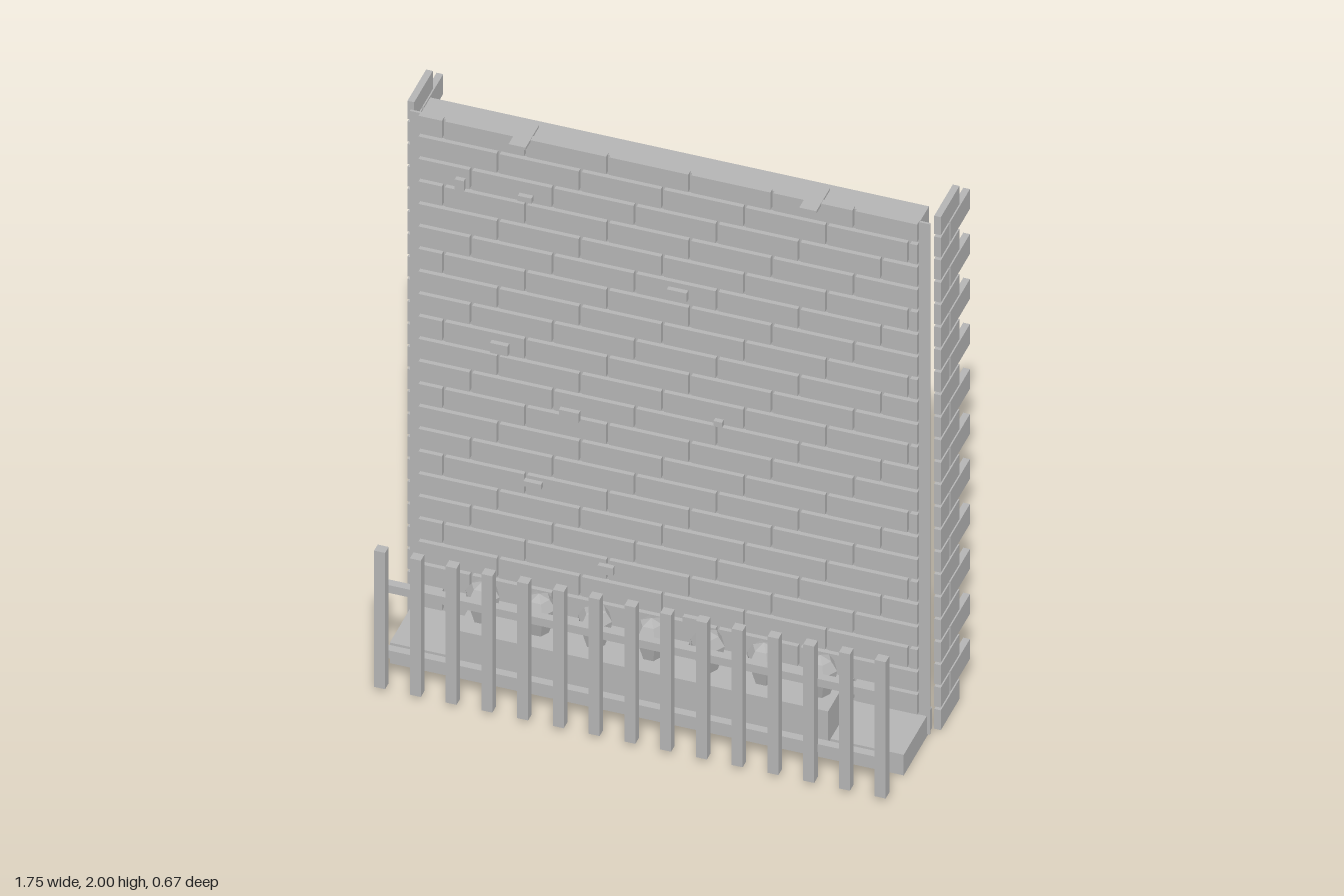
import * as THREE from 'three';

export function createModel() {
  const model = new THREE.Group();
  const stone = new THREE.MeshStandardMaterial({ color: 0xb4b4b4 });
  stone.name = 'grey stone';

  const add = (parent, geometry, name) => {
    const mesh = new THREE.Mesh(geometry, stone);
    mesh.name = name;
    parent.add(mesh);
    return mesh;
  };
  // Box given by its limits on each axis
  const block = (parent, name, x0, x1, y0, y1, z0, z1) => {
    const mesh = add(parent, new THREE.BoxGeometry(x1 - x0, y1 - y0, z1 - z0), name);
    mesh.position.set((x0 + x1) / 2, (y0 + y1) / 2, (z0 + z1) / 2);
    return mesh;
  };
  const group = (name) => {
    const g = new THREE.Group();
    g.name = name;
    model.add(g);
    return g;
  };

  // Backing wall and base slab
  block(model, 'wall', -0.82, 0.82, 0.01, 1.992, -0.12, -0.03);
  block(model, 'base', -0.845, 0.845, 0, 0.08, -0.08, 0.18);

  // Front brick courses, stepping by a third of a brick each row
  const rows = 23, pitch = 0.0875, brickHeight = 0.075, brickLength = 0.27, gap = 0.01;
  const rowBottom = (row) => 0.005 + row * pitch;
  const bricks = group('frontBricks');
  for (let row = 1; row < rows; row++) {
    const y = rowBottom(row);
    const top = Math.min(y + brickHeight, 1.998);
    const shift = -0.468 - ((rows - 1 - row) % 3) * brickLength / 3;
    for (let i = -3; i < 8; i++) {
      const left = Math.max(-0.82, shift + i * brickLength + gap / 2);
      const right = Math.min(0.82, shift + (i + 1) * brickLength - gap / 2);
      if (right - left > 0.015) block(bricks, 'brick', left, right, y, top, -0.034, -0.012);
    }
  }

  // Side strips and alternating corner bricks
  for (const side of [-1, 1]) {
    const corner = group(side > 0 ? 'leftCorner' : 'rightCorner');
    const sideBlock = (name, a, b, ...rest) =>
      block(corner, name, Math.min(side * a, side * b), Math.max(side * a, side * b), ...rest);
    sideBlock('cornerStrip', 0.815, 0.855, 0.01, 1.995, -0.038, -0.03);
    for (let row = 0; row < rows; row++) {
      const y = rowBottom(row);
      const top = Math.min(y + brickHeight + 0.002, 2);
      if (row % 2 === 0) {
        sideBlock('cornerBrick', 0.855, 0.877, y, top, -0.24, -0.07);
      } else {
        sideBlock('cornerBrick', 0.855, 0.877, y, top, -0.148, -0.07);
        sideBlock('cornerBrick', 0.855, 0.877, y, top, -0.335, -0.158);
      }
    }
  }

  // Small raised chips on the wall: x, y, width, height
  const chips = group('raisedChips');
  for (const [x, y, w, h] of [
    [-0.68, 1.775, 0.03, 0.04], [-0.465, 1.775, 0.045, 0.02], [0.035, 1.53, 0.065, 0.035],
    [-0.55, 1.17, 0.058, 0.038], [0.17, 1.065, 0.028, 0.02], [-0.32, 0.97, 0.065, 0.036],
    [-0.44, 0.67, 0.058, 0.02], [0.08, 0.27, 0.05, 0.035], [-0.2, 0.4, 0.05, 0.03],
  ]) block(chips, 'chip', x - w / 2, x + w / 2, y - h / 2, y + h / 2, -0.014, 0.005);

  // Flat brackets over the wall top
  for (const x of [-0.48, 0.476]) {
    block(model, 'bracket', x - 0.028, x + 0.028, 1.99, 2, -0.092, 0.032);
  }

  // Planter with a row of faceted shrubs
  block(model, 'planter', -0.612, 0.612, 0.097, 0.22, 0.052, 0.224);
  const profile = [[0, 0.218], [0.032, 0.218], [0.05, 0.275], [0.056, 0.315], [0.036, 0.348], [0, 0.364]]
    .map(([r, y]) => new THREE.Vector2(r, y));
  const shrubGeometry = new THREE.LatheGeometry(profile, 6, Math.PI / 2).toNonIndexed();
  shrubGeometry.computeVertexNormals();
  const shrubs = group('shrubs');
  for (let i = 0; i < 7; i++) {
    add(shrubs, shrubGeometry, 'shrub').position.set(-0.555 + i * 0.185, 0, 0.138);
  }

  // Picket fence
  const fence = group('fence');
  for (let i = 0; i < 15; i++) {
    const x = -0.823 + i * 0.1176;
    block(fence, 'picket', x - 0.018, x + 0.018, 0.02, 0.55, 0.302, 0.335);
  }
  for (const y of [0.118, 0.372]) {
    block(fence, 'rail', -0.82, 0.82, y, y + 0.03, 0.275, 0.303);
  }
  return model;
}
